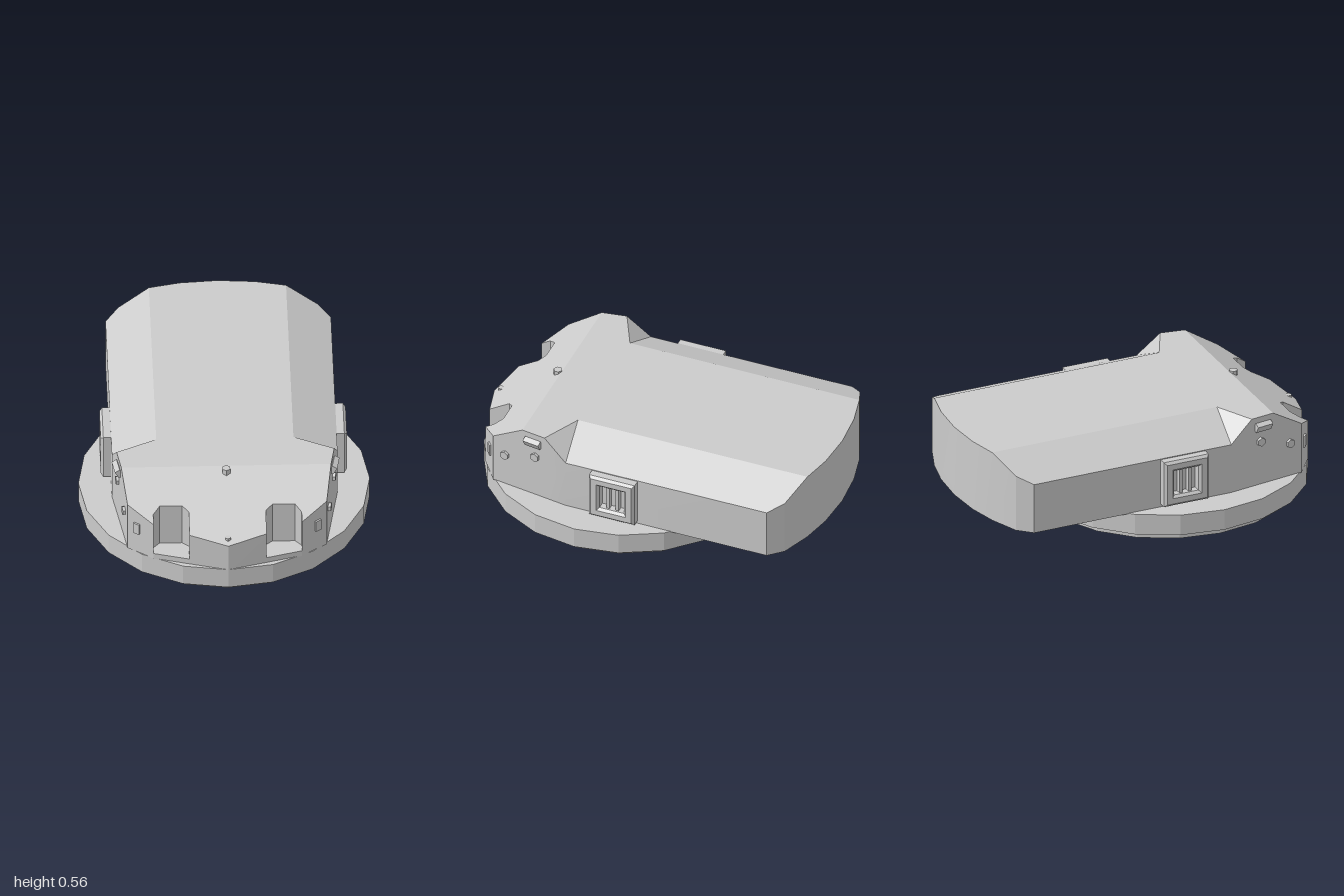
import * as THREE from 'three';
import { toCreasedNormals } from 'three/addons/utils/BufferGeometryUtils.js';

const material = new THREE.MeshStandardMaterial({ color: 0xcccccc });
const flatMaterial = new THREE.MeshStandardMaterial({ color: 0xcccccc, flatShading: true });

const BOTTOM = 0.16, DECK = 0.56, FLOOR = 0.195;
const noseY = z => DECK - 0.615 * (z - 0.61);
const chamferY = x => DECK - 0.489 * (x - 0.365);

function mesh(name, geometry, mat = flatMaterial) {
  const m = new THREE.Mesh(geometry, mat);
  m.name = name;
  return m;
}

// Half polygon from front centre to the back, closed by its mirror image
function mirrorHalf(half) {
  const other = half.filter(p => p[0] > 0).reverse().map(([x, y, z]) => [-x, y, z]);
  return [...half, ...other];
}

// Turret body: vertical walls around an outline, closed by planar top faces
function hullGeometry() {
  const onNose = ([x, z]) => [x, noseY(z), z];
  const niche = [[0.205, 0.943], [0.205, 0.83], [0.24, 0.8], [0.36, 0.8], [0.395, 0.84], [0.395, 0.889]].map(onNose);
  const front = onNose([0, 1]);
  const cheek = onNose([0.53, 0.79]);
  const brow = [0.558, DECK, 0.61];
  const notchTop = [0.579, DECK, 0.475];
  const notchIn = [0.365, DECK, 0.37];
  const notchLow = [0.6, chamferY(0.6), 0.345];
  const rearCorner = [0.6, chamferY(0.6), -0.81];
  const rearMid = [0.53, chamferY(0.53), -0.885];
  const rearIn = [0.365, DECK, -0.948];
  const stern = [[0.2, DECK, -0.985], [0, DECK, -1]];

  const positions = [];
  const face = (points, up = 1) => {
    const flat = points.map(p => new THREE.Vector2(p[0], -p[2]));
    for (const tri of THREE.ShapeUtils.triangulateShape(flat, [])) {
      const [a, b, c] = tri.map(i => flat[i]);
      const turn = (b.x - a.x) * (c.y - a.y) - (b.y - a.y) * (c.x - a.x);
      const order = turn * up > 0 ? tri : [tri[0], tri[2], tri[1]];
      order.forEach(i => positions.push(...points[i]));
    }
  };
  const wall = (a, b, base, topA = a[1], topB = b[1]) => {
    const a0 = [a[0], base, a[2]], b0 = [b[0], base, b[2]];
    const a1 = [a[0], topA, a[2]], b1 = [b[0], topB, b[2]];
    for (const p of [a0, b0, b1, a0, b1, a1]) positions.push(...p);
  };
  const flip = points => points.map(([x, y, z]) => [-x, y, z]);
  const level = (points, y) => points.map(p => [p[0], y, p[2]]);

  // Walls, raised to the niche floor inside the two front niches
  const aft = [cheek, brow, notchTop, notchLow, rearCorner, rearMid, rearIn, ...stern];
  const outline = mirrorHalf([front, ...niche, ...aft]);
  const inNiche = p => niche.some(n => n[0] === Math.abs(p[0]) && n[2] === p[2]);
  outline.forEach((a, i) => {
    const b = outline[(i + 1) % outline.length];
    wall(a, b, inNiche(a) && inNiche(b) ? FLOOR : BOTTOM);
  });

  // Nose slope, deck and underside
  face(mirrorHalf([front, ...niche, cheek, brow]));
  face(mirrorHalf([brow, notchTop, notchIn, rearIn, ...stern]));
  face(level(mirrorHalf([front, niche[0], niche[5], ...aft]), BOTTOM), -1);

  // Side chamfers, notch triangles and niche floors with their sills
  for (const side of [p => p, flip]) {
    face(side([notchIn, notchLow, rearCorner, rearMid, rearIn]));
    face(side([notchIn, notchTop, notchLow]));
    face(side(level(niche, FLOOR)));
  }
  wall(niche[0], niche[5], BOTTOM, FLOOR, FLOOR);
  const [l0, l5] = flip([niche[0], niche[5]]);
  wall(l5, l0, BOTTOM, FLOOR, FLOOR);

  const geometry = new THREE.BufferGeometry();
  geometry.setAttribute('position', new THREE.Float32BufferAttribute(positions, 3));
  return toCreasedNormals(geometry, 0.3);
}

// Lower ring plate with a wedge missing at the back
function ringPlateGeometry() {
  const points = [new THREE.Vector2(0, 0)];
  for (let i = -9; i <= 9; i++) {
    const a = i * Math.PI / 10;
    points.push(new THREE.Vector2(0.72 * Math.sin(a), 0.72 * Math.cos(a)));
  }
  const g = new THREE.ExtrudeGeometry(new THREE.Shape(points), { depth: 0.045, bevelEnabled: false });
  return g.rotateX(Math.PI / 2);
}

// Bevelled side window frame with upright bars
function sideWindow(s) {
  const square = r => [[-r, -r], [r, -r], [r, r], [-r, r]].map(p => new THREE.Vector2(...p));
  const shape = new THREE.Shape(square(0.117));
  shape.holes.push(new THREE.Path(square(0.085).reverse()));
  const group = new THREE.Group();
  group.name = s > 0 ? 'leftWindow' : 'rightWindow';
  group.add(mesh('windowFrame', new THREE.ExtrudeGeometry(shape, {
    depth: 0.05, bevelThickness: 0.014, bevelSize: 0.014, bevelSegments: 1,
  })));
  for (const x of [-0.026, 0.026]) {
    const bar = mesh('windowBar', new THREE.BoxGeometry(0.018, 0.16, 0.03));
    bar.position.set(x, 0, 0.025);
    group.add(bar);
  }
  group.position.set(s * 0.591, 0.31, 0.0625);
  group.rotation.y = s * Math.PI / 2;
  return group;
}

export function createModel() {
  const model = new THREE.Group();
  model.name = 'turret';

  // Turret ring
  const plate = mesh('ringPlate', ringPlateGeometry());
  plate.position.set(0, 0.045, 0.225);
  const ring = mesh('turretRing', new THREE.CylinderGeometry(0.775, 0.775, 0.118, 20));
  ring.position.set(0, 0.104, 0.225);
  model.add(plate, ring, mesh('hull', hullGeometry(), material));

  // Posts on the nose slope
  for (const [r, top, z] of [[0.024, 0.565, 0.635], [0.017, 0.352, 0.96]]) {
    const post = mesh('nosePost', new THREE.CylinderGeometry(r, r, 0.06, 6));
    post.position.set(0, top - 0.03, z);
    model.add(post);
  }

  // Fittings on both sides, turned to face out of the walls
  const wallAngle = Math.atan2(0.445, 0.07), cheekAngle = Math.atan2(0.1, 0.135);
  for (const s of [1, -1]) {
    model.add(sideWindow(s));
    const fit = (part, x, y, z, angle) => {
      part.position.set(s * x, y, z);
      part.rotation.set(0, s * angle, 0);
      model.add(part);
    };
    for (const [x, y, z] of [[0.571, 0.415, 0.53], [0.542, 0.355, 0.715]]) {
      const stud = new THREE.CylinderGeometry(0.025, 0.025, 0.03, 6).rotateX(Math.PI / 2);
      fit(mesh('sideStud', stud), x, y, z, wallAngle);
    }
    const lamp = new THREE.BoxGeometry(0.095, 0.045, 0.03).rotateX(0.5);
    fit(mesh('sideLamp', lamp), 0.575, 0.503, 0.545, wallAngle);
    fit(mesh('cheekPlate', new THREE.BoxGeometry(0.035, 0.065, 0.02)), 0.48, 0.32, 0.827, cheekAngle);
  }
  return model;
}
